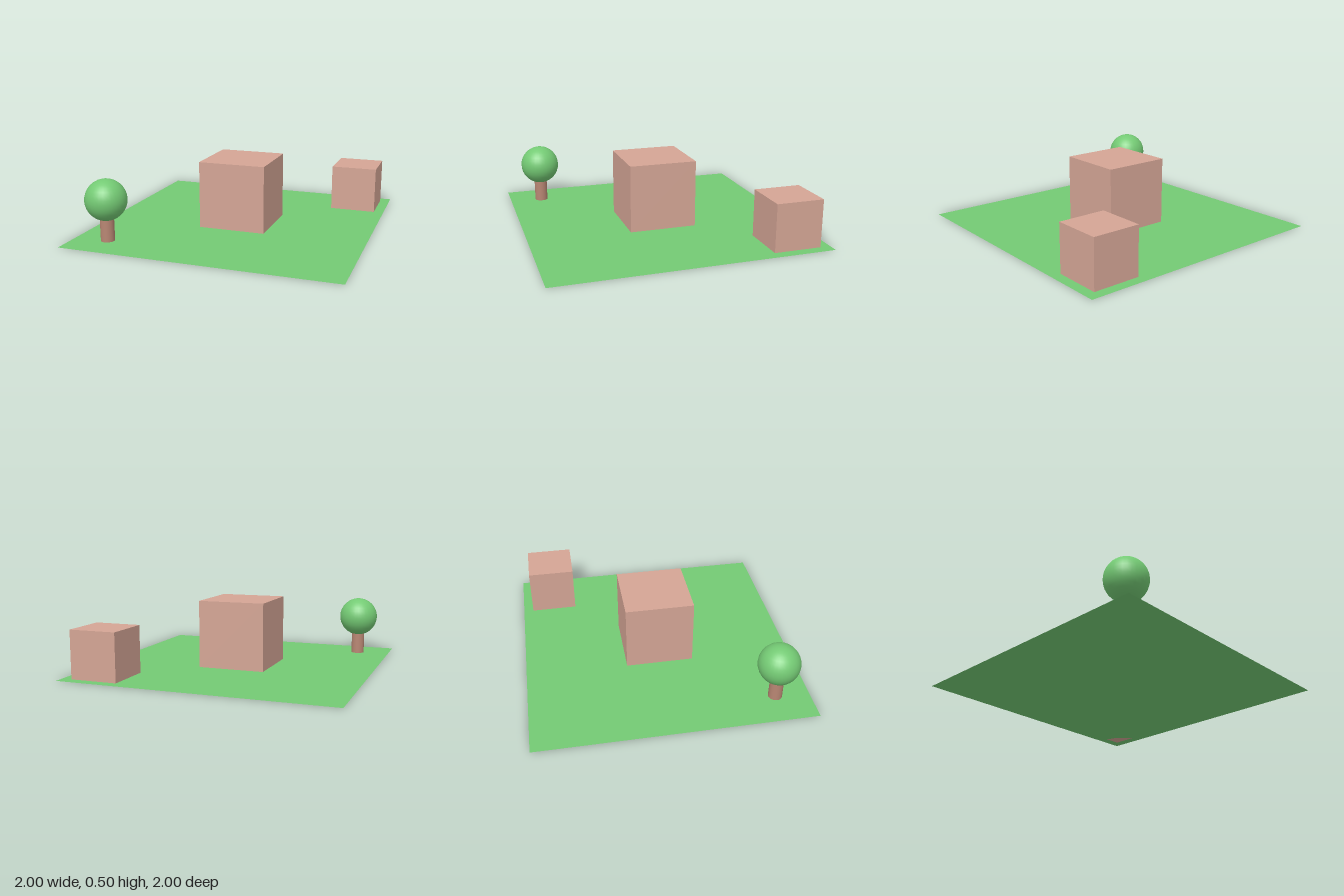
import * as THREE from 'three';

const material = (color, side = THREE.FrontSide) =>
  new THREE.MeshStandardMaterial({ color, side });

function addMesh(parent, name, geometry, mat, x, y, z) {
  const mesh = new THREE.Mesh(geometry, mat);
  mesh.name = name;
  mesh.position.set(x, y, z);
  parent.add(mesh);
  return mesh;
}

export function createModel() {
  const model = new THREE.Group();
  model.name = 'parkScene';

  const grass = material(0x74ca74, THREE.DoubleSide);
  const leaves = material(0x74ca74);
  const clay = material(0xd4a595);
  const bark = material(0xb88673);

  // Flat square lawn
  addMesh(model, 'lawn', new THREE.PlaneGeometry(2, 2), grass, 0, 0, 0).rotation.x = -Math.PI / 2;

  // Cube buildings standing on the lawn: name, size, x, z
  for (const [name, size, x, z] of [
    ['mainBuilding', 0.5, 0, 0],
    ['smallBuilding', 0.35, 0.75, -0.75],
  ]) {
    addMesh(model, name, new THREE.BoxGeometry(size, size, size), clay, x, size / 2, z);
  }

  // Round tree in the front corner
  const tree = new THREE.Group();
  tree.name = 'tree';
  tree.position.set(-0.75, 0, 0.75);
  addMesh(tree, 'trunk', new THREE.CylinderGeometry(0.05, 0.05, 0.2, 32), bark, 0, 0.1, 0);
  addMesh(tree, 'crown', new THREE.SphereGeometry(0.15, 32, 16), leaves, 0, 0.3, 0);
  model.add(tree);

  return model;
}
